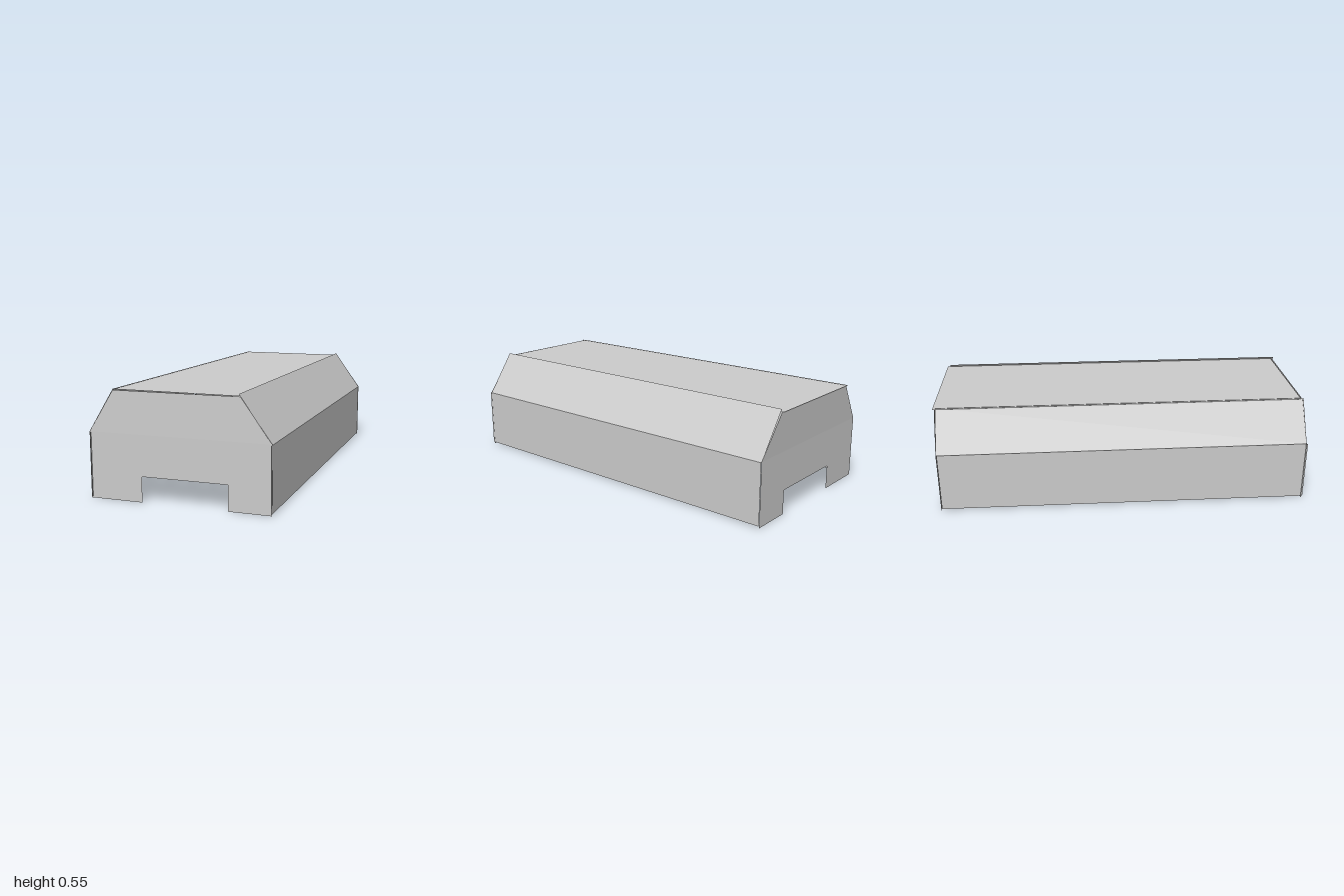
import * as THREE from 'three';

const material = new THREE.MeshStandardMaterial({
  color: 0xcccccc, side: THREE.DoubleSide, flatShading: true,
});

// Long thin panel running along z between two points of the cross-section
function longPanel(name, [x0, y0], [x1, y1], front, back) {
  const geometry = new THREE.BufferGeometry();
  geometry.setAttribute('position', new THREE.Float32BufferAttribute([
    x0, y0, front, x0, y0, back, x1, y1, back, x1, y1, front,
  ], 3));
  geometry.setIndex([0, 1, 2, 0, 2, 3]);
  geometry.computeVertexNormals();
  const mesh = new THREE.Mesh(geometry, material);
  mesh.name = name;
  return mesh;
}

// Flat end panel from an outline; zAt gives its lean
function endPanel(name, outline, zAt) {
  const shape = new THREE.Shape(outline.map(([x, y]) => new THREE.Vector2(x, y)));
  const geometry = new THREE.ShapeGeometry(shape);
  const p = geometry.attributes.position;
  for (let i = 0; i < p.count; i++) p.setZ(i, zAt(p.getY(i)));
  geometry.computeVertexNormals();
  const mesh = new THREE.Mesh(geometry, material);
  mesh.name = name;
  return mesh;
}

export function createModel() {
  const group = new THREE.Group();
  group.name = 'openShell';
  const eave = 0.333, ridge = 0.541;

  // Lower end with an off-centre notch, and the tapering upper end
  const lower = [[-0.467, 0], [-0.19, 0], [-0.19, 0.128], [0.25, 0.128],
    [0.25, 0], [0.465, 0], [0.465, eave], [-0.467, eave]];
  const upper = [[-0.467, eave], [0.465, eave], [0.31, ridge], [-0.34, ridge]];
  const lean = (y) => 0.006 * (y - eave) / (ridge - eave);

  group.add(
    endPanel('frontLowerEnd', lower, () => 0.99),
    endPanel('frontUpperEnd', upper, (y) => 0.99 - lean(y)),
    endPanel('backLowerEnd', lower, () => -0.985),
    endPanel('backUpperEnd', upper, (y) => -0.985 - lean(y)),
    // Side walls
    longPanel('leftWall', [0.464, 0.008], [0.464, 0.33], 1, -0.982),
    longPanel('rightWall', [-0.459, 0.008], [-0.459, 0.33], 1, -0.982),
    // Sloping shoulders
    longPanel('leftSlope', [0.464, 0.33], [0.305, 0.554], 0.99, -0.985),
    longPanel('rightSlope', [-0.465, 0.333], [-0.334, 0.546], 0.99, -0.985),
    // Top, set slightly towards the back
    longPanel('top', [0.31, 0.542], [-0.345, 0.544], 0.975, -1),
  );
  return group;
}
